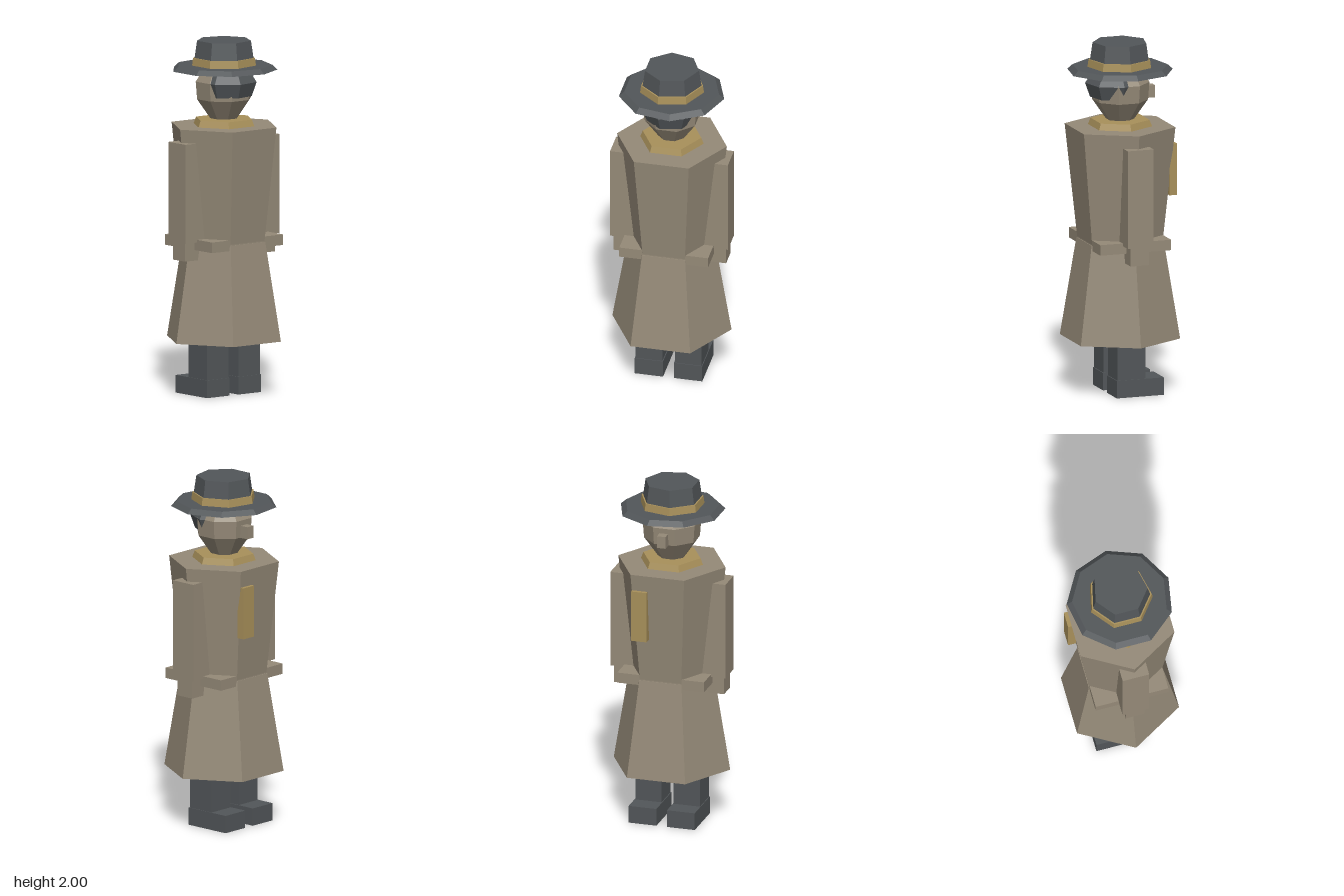
import * as THREE from 'three';

const material = (name, color) => {
  const m = new THREE.MeshStandardMaterial({ color });
  m.name = name;
  return m;
};

export function createModel() {
  const model = new THREE.Group();
  model.name = 'figureInCoat';
  const coat = material('taupe', 0x958a78);
  const dark = material('slate', 0x525659);
  const gold = material('ochre', 0xa8905a);

  // Adds a mesh with one flat normal per facet
  function add(name, geometry, mat) {
    const flat = geometry.toNonIndexed();
    flat.computeVertexNormals();
    const mesh = new THREE.Mesh(flat, mat);
    mesh.name = name;
    model.add(mesh);
    return mesh;
  }

  // Box given by its lower and upper limits
  function box(name, [x0, x1], [y0, y1], [z0, z1], mat) {
    const g = new THREE.BoxGeometry(x1 - x0, y1 - y0, z1 - z0);
    g.translate((x0 + x1) / 2, (y0 + y1) / 2, (z0 + z1) / 2);
    return add(name, g, mat);
  }

  // Tapered prism with one corner pointing to +x
  function prism(name, sides, [y0, r0], [y1, r1], mat) {
    const g = new THREE.CylinderGeometry(r1, r0, y1 - y0, sides);
    g.rotateY(Math.PI / 2);
    g.translate(0, (y0 + y1) / 2, 0);
    return add(name, g, mat);
  }

  // Faceted solid from [radius, y] rings, listed upwards
  function turned(name, sides, rings, turn, z, mat) {
    const points = rings.map(([r, y]) => new THREE.Vector2(r, y));
    const g = new THREE.LatheGeometry(points, sides);
    g.rotateY(turn);
    g.translate(0, 0, z);
    return add(name, g, mat);
  }

  // Coat
  prism('coatSkirt', 6, [0.31, 0.342], [0.87, 0.248], coat);
  prism('coatTorso', 6, [0.87, 0.243], [1.52, 0.315], coat);
  box('belt', [-0.255, 0.255], [0.84, 0.9], [-0.211, 0.211], coat);

  // Scarf: collar and hanging tail
  prism('scarfCollar', 6, [1.51, 0.186], [1.557, 0.168], gold);
  box('scarfTail', [0.06, 0.15], [1.13, 1.425], [-0.285, -0.24], gold);

  // Head, nose and hair
  turned('head', 8, [[0, 1.56], [0.08, 1.56], [0.157, 1.67], [0.165, 1.77], [0.12, 1.84], [0, 1.84]],
    Math.PI / 8, 0, coat);
  box('nose', [-0.025, 0.025], [1.67, 1.74], [-0.2, -0.13], coat);
  turned('hair', 7, [[0, 1.69], [0.138, 1.69], [0.166, 1.77], [0.122, 1.84], [0, 1.84]],
    Math.PI / 2, 0.033, dark);

  // Hat
  prism('hatBrim', 9, [1.833, 0.3], [1.86, 0.27], dark);
  prism('hatBand', 7, [1.858, 0.184], [1.903, 0.178], gold);
  prism('hatCrown', 7, [1.858, 0.176], [2, 0.155], dark);

  // Limbs on both sides
  for (const [side, s] of [['left', 1], ['right', -1]]) {
    const span = (a, b) => (s > 0 ? [a, b] : [-b, -a]);
    box(side + 'Arm', span(0.19, 0.338), [0.885, 1.445], [-0.077, 0.077], coat);
    box(side + 'Hand', span(0.21, 0.323), [0.78, 0.9], [-0.055, 0.055], coat);
    box(side + 'Leg', span(0.036, 0.19), [0.09, 0.4], [-0.081, 0.085], dark);
    box(side + 'Boot', span(0.031, 0.194), [0, 0.1], [-0.19, 0.09], dark);
  }
  return model;
}
